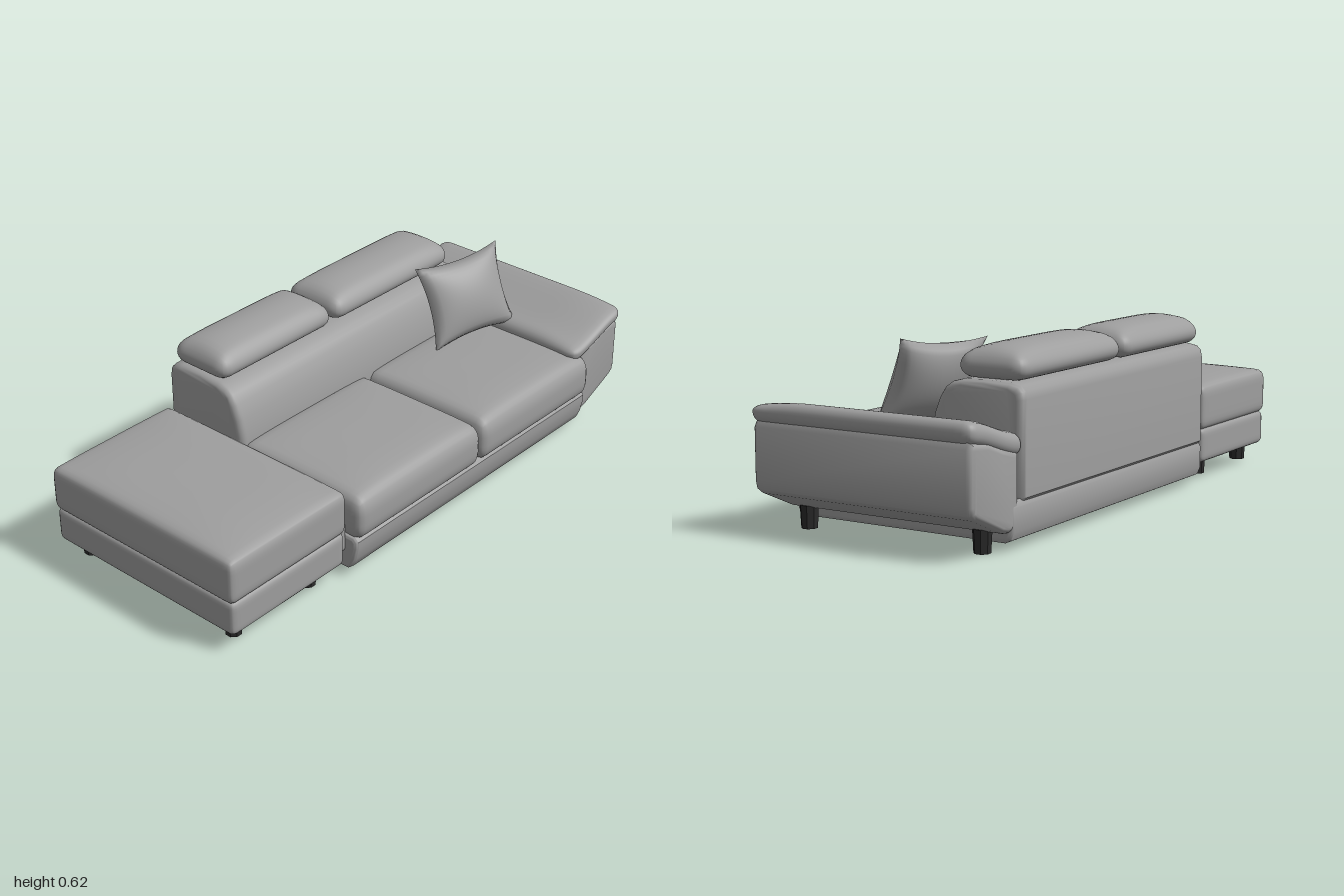
import * as THREE from 'three';
import { mergeVertices, toCreasedNormals } from 'three/addons/utils/BufferGeometryUtils.js';

const upholstery = new THREE.MeshStandardMaterial({ color: 0x9e9e9e });
upholstery.name = 'grey upholstery';
const legBlack = new THREE.MeshStandardMaterial({ color: 0x2b2b2b });
legBlack.name = 'black leg';

// Weld and smooth a deformed geometry
function smooth(geo) {
  geo.deleteAttribute('uv');
  geo.deleteAttribute('normal');
  const g = mergeVertices(geo, 1e-5);
  g.computeVertexNormals();
  return g;
}

// Box given by its limits, with elliptical edge radii and an optional deform rule
// deform(p, u, v, w): u, v, w run from -1 to 1 across the box
function softBox([x0, x1], [y0, y1], [z0, z1], radii, deform) {
  const half = [(x1 - x0) / 2, (y1 - y0) / 2, (z1 - z0) / 2];
  const mid = [(x0 + x1) / 2, (y0 + y1) / 2, (z0 + z1) / 2];
  const geo = new THREE.BoxGeometry(2, 2, 2, 22, 14, 22);
  const pos = geo.attributes.position;
  const p = new THREE.Vector3();
  for (let i = 0; i < pos.count; i++) {
    p.fromBufferAttribute(pos, i);
    // Crowd the rows towards the edges, then round those edges
    const q = p.toArray().map((t, k) => Math.sin(t * Math.PI / 2) * half[k]);
    const inner = q.map((c, k) => THREE.MathUtils.clamp(c, radii[k] - half[k], half[k] - radii[k]));
    const d = new THREE.Vector3(...q.map((c, k) => (c - inner[k]) / radii[k])).normalize().toArray();
    const r = inner.map((c, k) => c + d[k] * radii[k]);
    p.set(r[0] + mid[0], r[1] + mid[1], r[2] + mid[2]);
    if (deform) deform(p, r[0] / half[0], r[1] / half[1], r[2] / half[2]);
    pos.setXYZ(i, p.x, p.y, p.z);
  }
  return smooth(geo);
}

// Rule that swells the top of a cushion
const dome = (amount) => (p, u, v, w) => {
  if (v > 0) p.y += amount * v * (1 - u ** 4) * (1 - w ** 4);
};

// Closed profile extruded from one limit to the other with rounded rims
function profileSolid(points, from, to, rim) {
  const shape = new THREE.Shape(points.map(([a, b]) => new THREE.Vector2(a, b)));
  const geo = new THREE.ExtrudeGeometry(shape, {
    depth: to - from - 2 * rim, bevelSize: rim, bevelThickness: rim,
    bevelOffset: -rim, bevelSegments: 5,
  });
  geo.translate(0, 0, from + rim);
  return toCreasedNormals(geo, 0.7);
}

// Thin-edged square pillow with pulled-out corners
function pillowGeometry(centre, U, V, thickness) {
  const N = new THREE.Vector3().crossVectors(U, V).normalize();
  const geo = new THREE.BoxGeometry(2, 2, 2, 20, 20, 1);
  const pos = geo.attributes.position;
  const p = new THREE.Vector3();
  for (let i = 0; i < pos.count; i++) {
    const u = pos.getX(i), v = pos.getY(i), side = pos.getZ(i);
    const fu = 1 - u * u, fv = 1 - v * v;
    p.copy(centre)
      .addScaledVector(U, u * (1 - 0.12 * fv))
      .addScaledVector(V, v * (1 - 0.14 * fu))
      .addScaledVector(N, side * thickness * Math.sqrt(fu * fv));
    pos.setXYZ(i, p.x, p.y, p.z);
  }
  return smooth(geo);
}

export function createModel() {
  const model = new THREE.Group();
  model.name = 'sofa';
  const add = (name, geo, mat = upholstery) => {
    const mesh = new THREE.Mesh(geo, mat);
    mesh.name = name;
    model.add(mesh);
    return mesh;
  };

  // Side profiles are drawn as (-z, y) and turned to run along x
  const base = profileSolid([
    [-0.365, 0.025], [0.39, 0.025], [0.412, 0.035], [0.422, 0.06], [0.422, 0.135], [0.41, 0.155],
    [-0.39, 0.155], [-0.405, 0.14], [-0.405, 0.115], [-0.395, 0.07], [-0.382, 0.04],
  ], -0.46, 0.785, 0.014);
  add('sofaBase', base.rotateY(Math.PI / 2));

  const back = profileSolid([
    [0.1, 0.14], [0.41, 0.14], [0.424, 0.155], [0.425, 0.45], [0.42, 0.475], [0.405, 0.49],
    [0.37, 0.497], [0.28, 0.5], [0.2, 0.497], [0.165, 0.488], [0.14, 0.47], [0.12, 0.44],
    [0.1, 0.39], [0.087, 0.33], [0.08, 0.25],
  ], -0.465, 0.73, 0.025);
  add('backrest', back.rotateY(Math.PI / 2));

  // Seat cushions
  for (const [name, x0, x1] of [['rightSeatCushion', -0.465, 0.161], ['leftSeatCushion', 0.161, 0.782]]) {
    add(name, softBox([x0, x1], [0.145, 0.303], [-0.12, 0.425], [0.035, 0.06, 0.045], dome(0.02)));
  }

  // Headrests: flat below, domed above
  for (const [name, x0, x1] of [['rightHeadrest', -0.458, 0.08], ['leftHeadrest', 0.092, 0.712]]) {
    add(name, softBox([x0, x1], [0.498, 0.575], [-0.412, -0.17], [0.045, 0.038, 0.05], (p, u, v, w) => {
      if (v > 0) p.y += 0.03 * v * (1 - u ** 6) * (1 - w * w);
    }));
  }

  // Armrest body with an undercut outer side
  add('armBody', profileSolid([
    [0.74, 0.06], [0.8, 0.06], [0.83, 0.068], [0.97, 0.13], [0.99, 0.145], [0.996, 0.17],
    [0.996, 0.34], [0.985, 0.36], [0.9, 0.35], [0.83, 0.325], [0.74, 0.3],
  ], -0.42, 0.387, 0.022));

  // Armrest pad sloping down towards the seat
  add('armPad', softBox([0.71, 1.0], [-0.038, 0.038], [-0.422, 0.4], [0.04, 0.036, 0.04], (p, u, v, w) => {
    p.y += 0.352 + 0.036 * Math.sin(u * 1.4);
    if (v > 0) p.y -= 0.02 * v * Math.max(0, (w - 0.5) / 0.5) ** 2;
  }));

  // Ottoman and its link to the sofa
  add('ottomanBase', softBox([-0.995, -0.485], [0.065, 0.19], [-0.413, 0.383], [0.025, 0.022, 0.025]));
  add('ottomanCushion', softBox([-1, -0.48], [0.183, 0.342], [-0.416, 0.387], [0.024, 0.035, 0.024], dome(0.02)));
  add('ottomanLink', softBox([-0.495, -0.455], [0.09, 0.25], [-0.38, 0.36], [0.01, 0.02, 0.02]));

  // Throw pillow leaning in the corner
  add('throwPillow', pillowGeometry(
    new THREE.Vector3(0.605, 0.465, -0.01),
    new THREE.Vector3(0.17, 0.01, 0.047),
    new THREE.Vector3(0.01, 0.14, -0.06), 0.06));

  // Legs: tapered and chamfered
  const legGeo = toCreasedNormals(new THREE.CylinderGeometry(0.031, 0.027, 0.075, 8).rotateY(Math.PI / 8), 0.3);
  for (const [name, x, y] of [['ottomanOuterLeg', -0.92, 0.0475], ['ottomanInnerLeg', -0.585, 0.0475], ['armLeg', 0.822, 0.0375]]) {
    for (const [end, z] of [['Front', 0.308], ['Back', -0.34]]) {
      add(name + end, legGeo, legBlack).position.set(x, y, z);
    }
  }
  return model;
}
